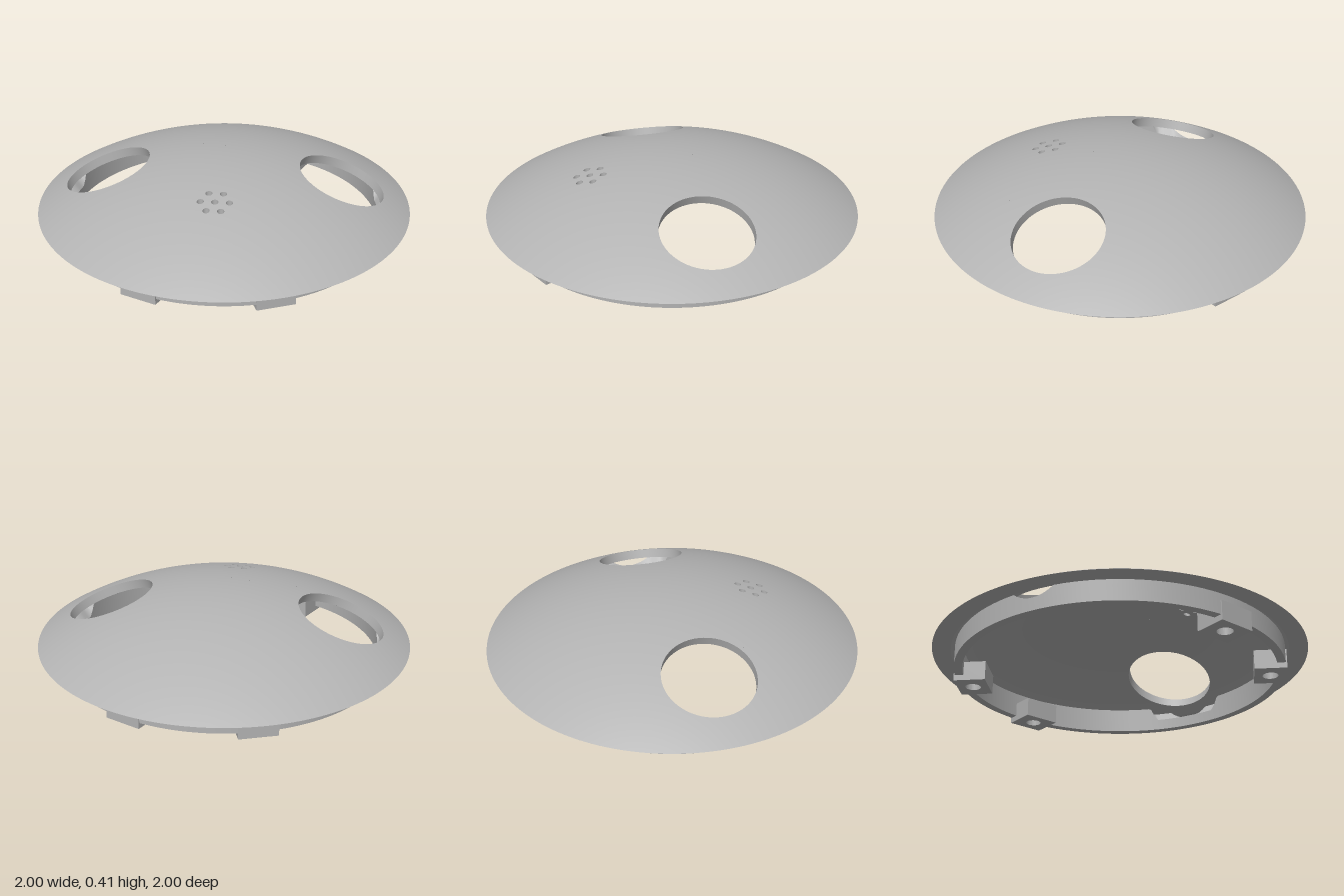
import * as THREE from 'three';

const R = 1.897, CY = -1.482, WALL = 0.05;   // dome sphere radius, centre height, shell thickness
const RIM_Y = 0.13;
const TILT = Math.asin(0.335);               // side openings lean out along the dome normal
const SIN = Math.sin(TILT), COS = Math.cos(TILT);

const grey = new THREE.MeshStandardMaterial({ color: 0xb3b3b3, side: THREE.DoubleSide });
grey.name = 'plain grey';

const domeY = (x, z, r) => CY + Math.sqrt(Math.max(0, r * r - x * x - z * z));

function loop(count, fn) {
  return Array.from({ length: count }, (_, i) => fn((i / count) * Math.PI * 2));
}

// Closed band between two loops of equal length
function band(a, b) {
  const n = a.length, idx = [];
  for (let i = 0; i < n; i++) {
    const j = (i + 1) % n;
    idx.push(i, j, n + i, j, n + j, n + i);
  }
  const g = new THREE.BufferGeometry().setFromPoints([...a, ...b]);
  g.setIndex(idx);
  g.computeVertexNormals();
  return g;
}

// Rim of a tilted round side opening on a sphere of radius r
function sideHole(side, r) {
  const d = Math.sqrt(r * r - 0.24 * 0.24);
  return loop(72, (t) => {
    const u = 0.24 * Math.cos(t), z = 0.24 * Math.sin(t);
    return new THREE.Vector3(side * (d * SIN + u * COS), CY + d * COS - u * SIN, z);
  });
}

// Rim of a small upright grille hole on a sphere of radius r
function grilleHole(cx, cz, r) {
  return loop(24, (t) => {
    const x = cx + 0.018 * Math.cos(t), z = cz + 0.018 * Math.sin(t);
    return new THREE.Vector3(x, domeY(x, z, r), z);
  });
}

function allHoles(r) {
  const holes = [sideHole(1, r), sideHole(-1, r), grilleHole(0, 0.448, r)];
  for (let i = 0; i < 6; i++) {
    const a = (i * Math.PI) / 3;
    holes.push(grilleHole(0.073 * Math.cos(a), 0.448 + 0.073 * Math.sin(a), r));
  }
  return holes;
}

// Spherical cap with openings: flat triangulation, refined, then lifted to the sphere
function cap(r, edge, up) {
  const flat = (pts) => pts.map((p) => new THREE.Vector2(p.x, p.z));
  const contour = loop(180, (t) => new THREE.Vector2(edge * Math.cos(t), edge * Math.sin(t)));
  const holes = allHoles(r).map(flat);
  const all = [contour, ...holes].flat();
  const pos = [], nor = [];
  const emit = (p) => {
    const y = domeY(p.x, p.y, r);
    pos.push(p.x, y, p.y);
    nor.push((up * p.x) / r, (up * (y - CY)) / r, (up * p.y) / r);
  };
  // Halve the longest edge until every edge is short
  const refine = (a, b, c) => {
    const ab = a.distanceTo(b), bc = b.distanceTo(c), ca = c.distanceTo(a);
    if (Math.max(ab, bc, ca) < 0.06) {
      [a, b, c].forEach(emit);
      return;
    }
    let [p, q, s] = [a, b, c];
    if (bc > ab && bc >= ca) [p, q, s] = [b, c, a];
    else if (ca > ab) [p, q, s] = [c, a, b];
    const mid = p.clone().add(q).multiplyScalar(0.5);
    refine(p, mid, s);
    refine(mid, q, s);
  };
  for (const [i, j, k] of THREE.ShapeUtils.triangulateShape(contour, holes)) {
    const a = all[i], b = all[j], c = all[k];
    const ny = (b.y - a.y) * (c.x - a.x) - (b.x - a.x) * (c.y - a.y);
    if (ny * up > 0) refine(a, b, c);
    else refine(a, c, b);
  }
  const g = new THREE.BufferGeometry();
  g.setAttribute('position', new THREE.Float32BufferAttribute(pos, 3));
  g.setAttribute('normal', new THREE.Float32BufferAttribute(nor, 3));
  return g;
}

// Top of the mounting ring: follows the dome, with a round clearance cut by each opening
function ringTop(x, z) {
  const base = domeY(x, z, R - WALL) + 0.004;
  if (Math.abs(z) >= 0.305) return base;
  const u = Math.sqrt(0.305 * 0.305 - z * z);
  const cut = 0.307 - (u - 0.943 * (Math.abs(x) - 0.63)) / 0.332;
  return Math.min(base, Math.max(cut, 0.09));
}

function ringLoop(r, top) {
  return loop(240, (t) => {
    const x = r * Math.cos(t), z = r * Math.sin(t);
    return new THREE.Vector3(x, top ? ringTop(x, z) : 0.03, z);
  });
}

export function createModel() {
  const model = new THREE.Group();
  model.name = 'domeCover';
  const add = (name, geo, parent = model) => {
    const m = new THREE.Mesh(geo, grey);
    m.name = name;
    parent.add(m);
    return m;
  };

  // Dome shell
  const innerEdge = Math.sqrt((R - WALL) ** 2 - (RIM_Y - CY) ** 2);
  add('domeOuter', cap(R, 1, 1));
  add('domeInner', cap(R - WALL, innerEdge, -1));
  const rim = add('domeRim', new THREE.RingGeometry(innerEdge, 1, 180));
  rim.rotation.x = Math.PI / 2;
  rim.position.y = RIM_Y;

  // Walls of the side openings and grille holes
  const inner = allHoles(R - WALL);
  allHoles(R).forEach((outer, i) => {
    add(i < 2 ? 'sideOpeningWall' : 'grilleHoleWall', band(inner[i], outer));
  });

  // Mounting ring
  const ring = new THREE.Group();
  ring.name = 'mountingRing';
  model.add(ring);
  const ob = ringLoop(0.88, false), ot = ringLoop(0.88, true);
  const it = ringLoop(0.835, true), ib = ringLoop(0.835, false);
  add('ringOutside', band(ot, ob), ring);
  add('ringTop', band(it, ot), ring);
  add('ringInside', band(ib, it), ring);
  add('ringBottom', band(ob, ib), ring);

  // Four screw tabs with upright holes
  const tab = new THREE.Shape();
  tab.moveTo(-0.1, -0.085).lineTo(0.1, -0.085).lineTo(0.1, 0.085).lineTo(-0.1, 0.085).closePath();
  tab.holes.push(new THREE.Path().absarc(0, 0, 0.042, 0, Math.PI * 2, true));
  const tabGeo = new THREE.ExtrudeGeometry(tab, { depth: 0.105, bevelEnabled: false, curveSegments: 16 });
  tabGeo.rotateX(-Math.PI / 2);
  tabGeo.translate(0, 0, 0.796);
  for (const angle of [22.5, -22.5, 157.5, -157.5]) {
    add('screwTab', tabGeo).rotation.y = THREE.MathUtils.degToRad(angle);
  }
  return model;
}
